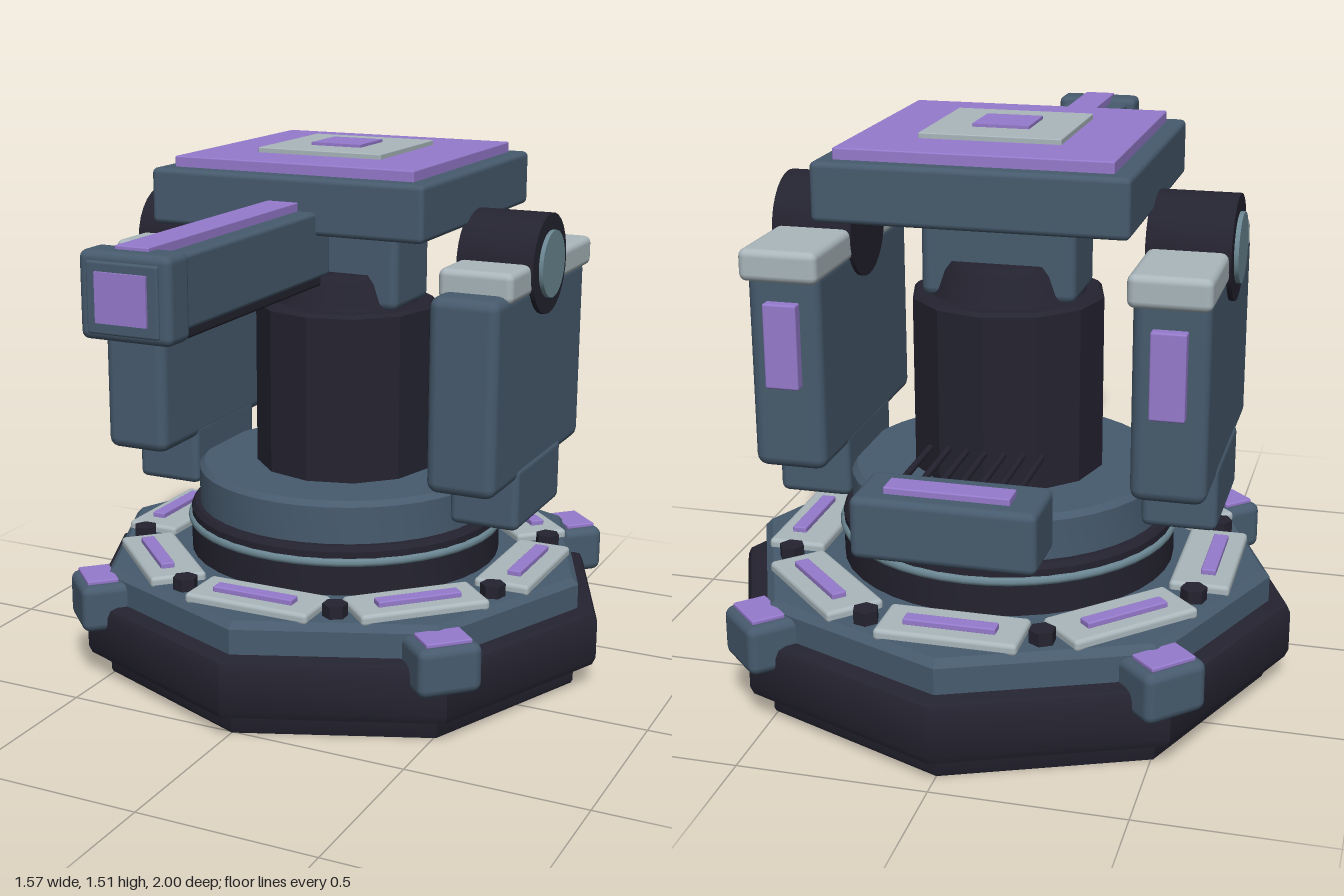
import * as THREE from 'three';
import { toCreasedNormals } from 'three/addons/utils/BufferGeometryUtils.js';
import { RoundedBoxGeometry } from 'three/addons/geometries/RoundedBoxGeometry.js';

const paint = (name, color) => Object.assign(new THREE.MeshStandardMaterial({ color }), { name });

export function createModel() {
  const model = new THREE.Group();
  model.name = 'turret';
  const slate = paint('slate', 0x475b6e);
  const dark = paint('charcoal', 0x242330);
  const light = paint('pale grey', 0xaab7bc);
  const purple = paint('purple', 0x967bcd);
  const steel = paint('steel', 0x6b8793);

  // Vertical axis shared by the base, turntable, column and head
  const CZ = -0.21;

  const add = (name, geometry, material, parent = model) => {
    const mesh = new THREE.Mesh(geometry, material);
    mesh.name = name;
    parent.add(mesh);
    return mesh;
  };
  // Rounded box given by its limits on each axis
  const box = (name, mat, [x0, x1], [y0, y1], [z0, z1], r = 0.02, parent = model) => {
    const w = x1 - x0, h = y1 - y0, d = z1 - z0;
    const geo = r > 0 ? new RoundedBoxGeometry(w, h, d, 2, r) : new THREE.BoxGeometry(w, h, d);
    const mesh = add(name, geo, mat, parent);
    mesh.position.set((x0 + x1) / 2, (y0 + y1) / 2, (z0 + z1) / 2);
    return mesh;
  };
  // Turned part about the vertical axis, profile from bottom to top
  const turned = (name, mat, sides, profile) => {
    const geo = new THREE.LatheGeometry(profile.map(([r, y]) => new THREE.Vector2(r, y)), sides);
    const mesh = add(name, toCreasedNormals(geo, 0.5), mat);
    mesh.position.z = CZ;
    return mesh;
  };

  // Octagonal base
  turned('foot', dark, 8, [[0, 0], [0.715, 0], [0.72, 0.01], [0.72, 0.07], [0, 0.07]]);
  turned('baseBody', dark, 8, [[0, 0.06], [0.755, 0.06], [0.775, 0.068], [0.785, 0.09],
    [0.785, 0.2], [0.775, 0.222], [0.755, 0.23], [0, 0.23]]);
  turned('deck', slate, 8, [[0, 0.22], [0.725, 0.22], [0.725, 0.3], [0.705, 0.32], [0, 0.32]]);

  // Deck panels with strips, and bolts between them
  for (let i = 0; i < 8; i++) {
    const sector = new THREE.Group();
    sector.name = 'deckSector';
    sector.position.z = CZ;
    sector.rotation.y = i * Math.PI / 4;
    model.add(sector);
    box('deckPanel', light, [-0.185, 0.185], [0.31, 0.343], [0.48, 0.64], 0.012, sector);
    box('deckStrip', purple, [-0.12, 0.12], [0.34, 0.358], [0.555, 0.595], 0.004, sector);
    const bolt = add('bolt', toCreasedNormals(new THREE.CylinderGeometry(0.035, 0.035, 0.04, 6), 0.5), dark, sector);
    bolt.position.set(0.6 * Math.sin(Math.PI / 8), 0.335, 0.6 * Math.cos(Math.PI / 8));
    // Corner blocks on the diagonals
    if (i % 2) {
      box('cornerBlock', slate, [-0.09, 0.09], [0.16, 0.297], [0.66, 0.815], 0.025, sector);
      box('cornerBlockPlate', purple, [-0.065, 0.065], [0.295, 0.308], [0.705, 0.795], 0.004, sector);
    }
  }

  // Turntable and its ring
  turned('turntable', dark, 40, [[0, 0.31], [0.455, 0.31], [0.455, 0.445], [0.445, 0.46], [0, 0.46]]);
  const ring = add('turntableRing', new THREE.TorusGeometry(0.452, 0.013, 8, 48), steel);
  ring.rotation.x = Math.PI / 2;
  ring.position.set(0, 0.415, CZ);
  turned('turntableDisc', slate, 40, [[0, 0.455], [0.43, 0.455], [0.43, 0.565], [0.415, 0.58], [0, 0.58]]);

  // Column, its shoulder and the neck under the head
  turned('column', dark, 12, [[0, 0.57], [0.26, 0.57], [0.26, 1.05], [0.25, 1.06], [0, 1.06]]);
  turned('shoulder', dark, 24, [[0, 1.05], [0.215, 1.05], [0.2, 1.075], [0.185, 1.13], [0.17, 1.155], [0, 1.155]]);
  box('neck', slate, [-0.207, 0.207], [1.055, 1.32], [CZ - 0.12, CZ + 0.12], 0.025);

  // Side arms, mirrored
  for (const s of [1, -1]) {
    const arm = new THREE.Group();
    arm.name = s > 0 ? 'leftArm' : 'rightArm';
    model.add(arm);
    const span = (a, b) => (s > 0 ? [a, b] : [-b, -a]);
    box('armBody', slate, span(0.4, 0.595), [0.63, 1.165], [-0.57, 0.155], 0.03, arm);
    box('armCap', light, span(0.392, 0.602), [1.14, 1.225], [-0.605, 0.07], 0.02, arm);
    box('armBracket', slate, span(0.4, 0.6), [0.49, 0.67], [-0.39, -0.03], 0.02, arm)
      .name = 'armBracket';
    box('armBackPlate', purple, span(0.452, 0.542), [0.86, 1.085], [-0.6, -0.565], 0.005, arm);
    const pivot = (name, mat, radius, from, to) => {
      const geo = toCreasedNormals(new THREE.CylinderGeometry(radius, radius, to - from, 28), 0.5);
      const mesh = add(name, geo, mat, arm);
      mesh.rotation.z = Math.PI / 2;
      mesh.position.set(s * (from + to) / 2, 1.208, CZ);
    };
    pivot('pivotDrum', dark, 0.138, 0.39, 0.608);
    pivot('pivotCap', steel, 0.092, 0.5, 0.62);
  }

  // Head with stacked square plates
  box('head', slate, [-0.4, 0.4], [1.305, 1.457], [-0.607, 0.193], 0.015);
  box('headPlate', purple, [-0.353, 0.353], [1.45, 1.486], [CZ - 0.353, CZ + 0.353], 0.004);
  box('headInsetPlate', light, [-0.185, 0.185], [1.48, 1.5], [CZ - 0.185, CZ + 0.185], 0.003);
  box('headCentrePlate', purple, [-0.075, 0.075], [1.498, 1.508], [CZ - 0.075, CZ + 0.075], 0);

  // Barrel with rail, strip and muzzle
  box('barrel', slate, [-0.097, 0.097], [1.188, 1.368], [0.1, 0.92], 0.012);
  box('barrelRail', dark, [-0.08, 0.08], [1.16, 1.2], [0.12, 0.875], 0.008);
  box('barrelStrip', purple, [-0.045, 0.045], [1.36, 1.391], [0.19, 0.945], 0.003);
  box('muzzle', slate, [-0.122, 0.122], [1.172, 1.382], [0.888, 0.985], 0.02);
  box('muzzleFrame', slate, [-0.095, 0.095], [1.19, 1.36], [0.97, 0.993], 0.006);
  box('muzzleFace', purple, [-0.068, 0.068], [1.218, 1.337], [0.992, 1], 0);

  // Rear pack with feed pipes
  box('rearPack', slate, [-0.235, 0.235], [0.53, 0.692], [-0.857, -0.662], 0.02);
  box('rearPackStrip', purple, [-0.16, 0.16], [0.685, 0.709], [-0.81, -0.742], 0.004);
  for (let i = -3; i <= 3; i++) {
    const pipe = add('feedPipe', new THREE.CylinderGeometry(0.009, 0.009, 0.22, 8), dark);
    pipe.rotation.x = Math.PI / 2;
    pipe.position.set(i * 0.05, 0.68, -0.56);
  }

  return model;
}
